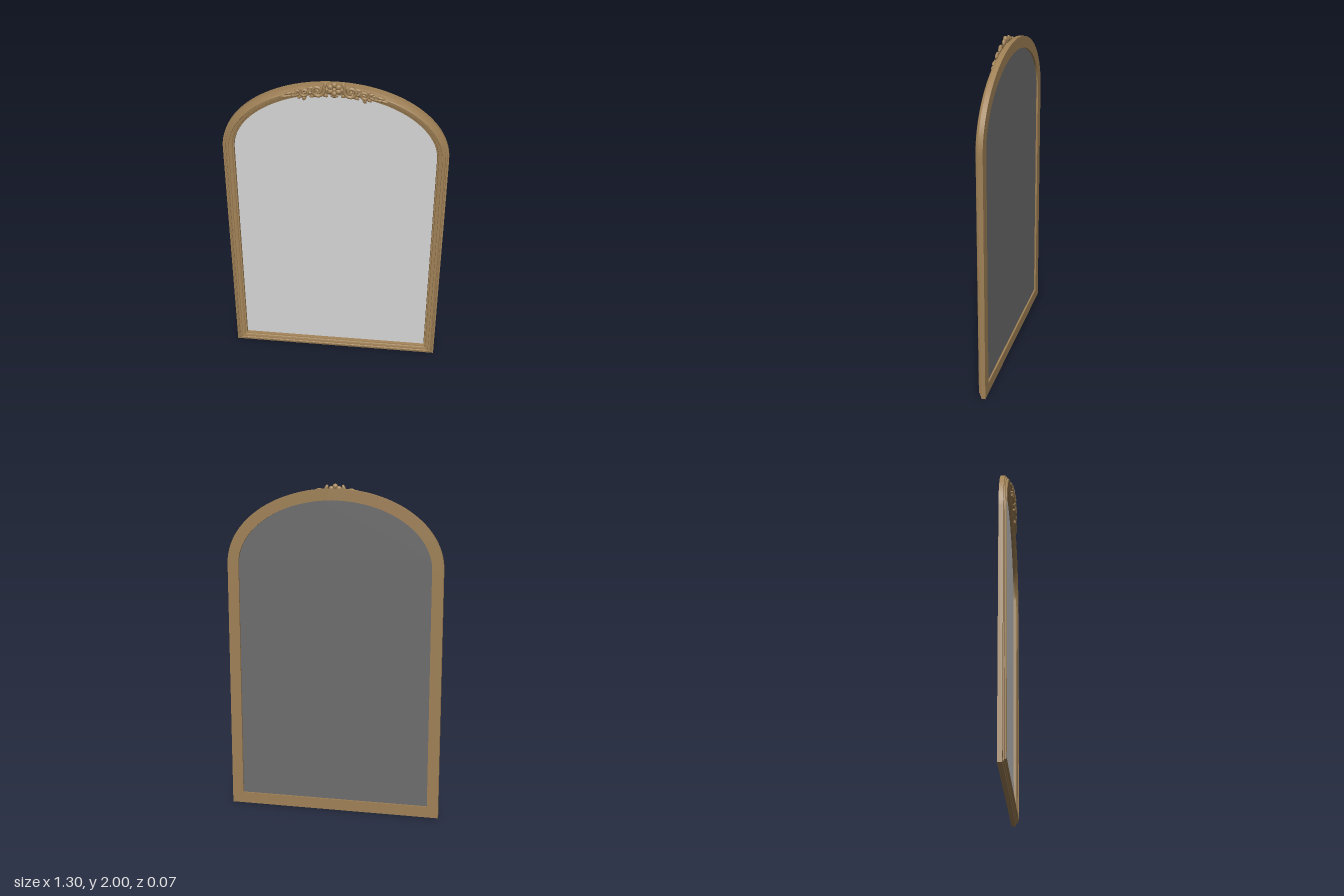
import * as THREE from 'three';
import { toCreasedNormals } from 'three/addons/utils/BufferGeometryUtils.js';

const W = 0.65, SPRING = 1.52, RISE = 0.455;

const mat = (name, color) => {
  const m = new THREE.MeshStandardMaterial({ color });
  m.name = name;
  return m;
};

// Outline of the frame with its inward direction (mitred at the bottom corners)
function outline() {
  const pts = [{ x: W, y: 0, nx: -1, ny: 1 }];
  const n = 64;
  for (let i = 0; i <= n; i++) {
    const t = (i / n) * Math.PI, c = Math.cos(t), s = Math.sin(t);
    const l = Math.hypot(c / W, s / RISE);
    pts.push({ x: W * c, y: SPRING + RISE * s, nx: -c / W / l, ny: -s / RISE / l });
  }
  pts.push({ x: -W, y: 0, nx: 1, ny: 1 });
  return pts;
}

// Sweep a closed moulding profile of [inward distance, z] round the outline
function sweep(path, profile) {
  const pos = [], idx = [], m = profile.length, n = path.length;
  for (const p of path)
    for (const [d, z] of profile) pos.push(p.x + p.nx * d, p.y + p.ny * d, z);
  for (let i = 0; i < n; i++)
    for (let j = 0; j < m; j++) {
      const i2 = (i + 1) % n, j2 = (j + 1) % m;
      const a = i * m + j, b = i2 * m + j, c = i2 * m + j2, d = i * m + j2;
      idx.push(a, b, c, a, c, d);
    }
  const g = new THREE.BufferGeometry();
  g.setAttribute('position', new THREE.Float32BufferAttribute(pos, 3));
  g.setIndex(idx);
  return toCreasedNormals(g, 0.4);
}

export function createModel() {
  const model = new THREE.Group();
  model.name = 'archedMirror';
  const bronze = mat('antique bronze', 0xa08156);
  const silver = mat('mirror silver', 0xd5d5d5);
  const dark = mat('backing grey', 0x6d6d6d);

  const add = (name, geo, material, parent = model) => {
    const mesh = new THREE.Mesh(geo, material);
    mesh.name = name;
    parent.add(mesh);
    return mesh;
  };

  // Stepped moulding
  const path = outline();
  add('frame', sweep(path, [
    [0, -0.035], [0, -0.008], [0.010, -0.006], [0.012, 0], [0.019, 0.002],
    [0.022, 0.010], [0.028, 0.013], [0.036, 0.012], [0.038, 0.008], [0.046, 0.007],
    [0.056, 0.003], [0.058, -0.001], [0.066, -0.003], [0.068, -0.012], [0.068, -0.035],
  ]), bronze);

  // Glass and backing
  const pane = new THREE.ShapeGeometry(new THREE.Shape(
    path.map(p => new THREE.Vector2(p.x + p.nx * 0.064, p.y + p.ny * 0.064))));
  add('glass', pane, silver).position.z = -0.018;
  add('backing', pane.clone().rotateY(Math.PI), dark).position.z = -0.024;

  // Carved crest
  const crest = new THREE.Group();
  crest.name = 'crest';
  model.add(crest);

  const ball = new THREE.SphereGeometry(1, 16, 10);
  const blob = (name, x, y, z, rx, ry, rz, rot = 0) => {
    const b = add(name, ball, bronze, crest);
    b.position.set(x, y, z);
    b.scale.set(rx, ry, rz);
    b.rotation.z = rot;
  };
  const vine = (name, points, r) => add(name, new THREE.TubeGeometry(
    new THREE.CatmullRomCurve3(points), 48, r, 8), bronze, crest);

  // Central rosette
  for (let i = 0; i < 6; i++) {
    const a = Math.PI / 2 + (i * Math.PI) / 3;
    blob('petal', 0.026 * Math.cos(a), 1.957 + 0.026 * Math.sin(a), 0.019, 0.017, 0.016, 0.013, a);
  }
  blob('rosetteHeart', 0, 1.957, 0.024, 0.011, 0.011, 0.010);
  blob('rosetteDrop', 0, 1.916, 0.016, 0.022, 0.013, 0.011);

  // Height of the middle of the moulding at x
  const mid = x => SPRING - 0.033 + RISE * Math.sqrt(1 - (x / W) ** 2);

  // Scrolls and leaves, mirrored to both sides
  for (const s of [-1, 1]) {
    const spiral = (cx, cy, r, start, turns, z, tube) => {
      const pts = [];
      for (let i = 0; i <= 24; i++) {
        const t = i / 24, a = start + turns * t * Math.PI * 2, q = r * (1 - 0.75 * t);
        pts.push(new THREE.Vector3(s * (cx + q * Math.cos(a)), cy + q * Math.sin(a), z + 0.003 * t));
      }
      vine('scroll', pts, tube);
    };
    spiral(0.092, 1.943, 0.039, 2.4, 1.4, 0.018, 0.010);
    spiral(0.165, 1.929, 0.028, 0.6, -1.3, 0.017, 0.008);
    spiral(0.230, 1.914, 0.016, 2.6, 1.2, 0.013, 0.005);

    // Stem trailing down the arch
    vine('stem', [0.05, 0.10, 0.16, 0.22, 0.285].map((x, i) =>
      new THREE.Vector3(s * x, mid(x) + (i % 2 ? -0.014 : -0.003), 0.013)), 0.006);

    // Leaves: x, offset from the moulding, length, width, tilt
    for (const [x, dy, l, w, tilt] of [
      [0.052, 0.034, 0.021, 0.011, 1.9], [0.055, -0.024, 0.022, 0.011, 0.5],
      [0.115, -0.026, 0.024, 0.010, -0.5], [0.130, 0.022, 0.022, 0.010, -0.2],
      [0.165, -0.036, 0.017, 0.010, -1.1], [0.188, -0.024, 0.020, 0.009, -0.6],
      [0.198, 0.012, 0.022, 0.009, 0.1], [0.255, 0.008, 0.022, 0.008, -0.3],
      [0.275, -0.006, 0.022, 0.007, -0.3],
    ]) blob('leaf', s * x, mid(x) + dy, 0.014, l, w, 0.009, s * tilt);
    blob('bud', s * 0.17, 1.894, 0.015, 0.009, 0.009, 0.009);
    blob('scrollEye', s * 0.092, 1.943, 0.020, 0.010, 0.010, 0.011);
  }
  return model;
}
